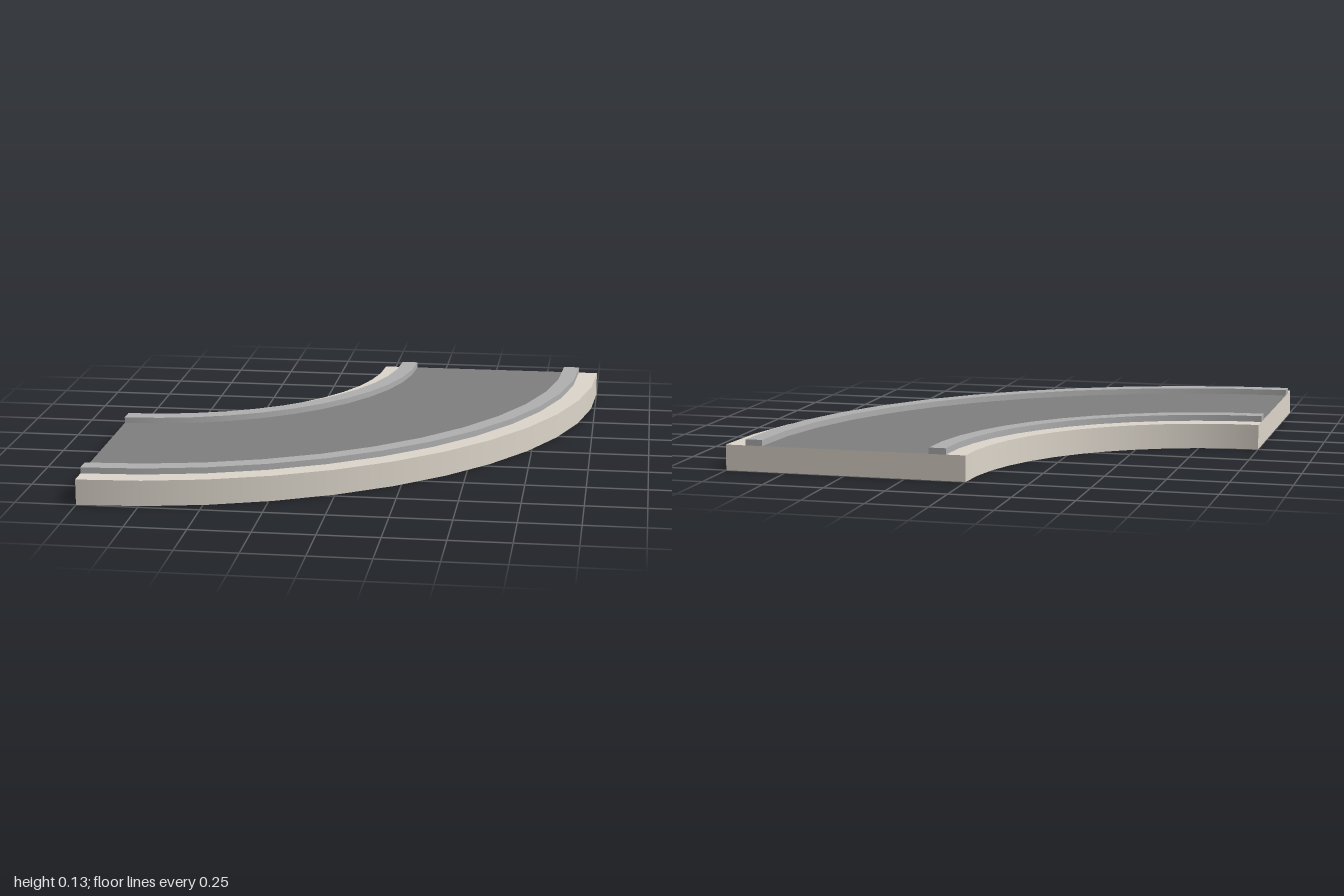
import * as THREE from 'three';
import { mergeGeometries } from 'three/addons/utils/BufferGeometryUtils.js';

const SEGMENTS = 12;
const BASE_TOP = 0.105, CURB_TOP = 0.13;
// radii: inner edge, inner curb, road, outer curb, outer edge
const R = [1, 1.08, 1.15, 1.845, 1.915, 2];

// one quarter-turn surface swept from profile point a to b; its front is on the right of a -> b
function sweep(a, b) {
  const points = [new THREE.Vector2(...a), new THREE.Vector2(...b)];
  return new THREE.LatheGeometry(points, SEGMENTS, 0, Math.PI / 2);
}

const topFace = (r0, r1, y) => sweep([r1, y], [r0, y]);

// inner and outer walls plus both flat ends of a quarter ring
function sides(r0, r1, y0, y1) {
  const r = (r0 + r1) / 2, y = (y0 + y1) / 2;
  return [
    sweep([r1, y0], [r1, y1]),
    sweep([r0, y1], [r0, y0]),
    new THREE.PlaneGeometry(r1 - r0, y1 - y0).rotateY(-Math.PI / 2).translate(0, y, r),
    new THREE.PlaneGeometry(r1 - r0, y1 - y0).rotateY(Math.PI).translate(r, y, 0),
  ];
}

export function createModel() {
  const group = new THREE.Group();
  group.name = 'curvedRoad';

  const add = (name, color, parts) => {
    const mesh = new THREE.Mesh(mergeGeometries(parts), new THREE.MeshStandardMaterial({ color }));
    mesh.name = name;
    mesh.position.set(-1, 0, -1); // centre of the bend
    group.add(mesh);
  };

  // base slab with its underside and the two pavement strips
  add('pavementBase', 0xddd6cb, [
    ...sides(R[0], R[5], 0, BASE_TOP),
    sweep([R[0], 0], [R[5], 0]),
    topFace(R[0], R[1], BASE_TOP),
    topFace(R[4], R[5], BASE_TOP),
  ]);

  // road surface
  add('roadSurface', 0x808080, [topFace(R[2], R[3], BASE_TOP)]);

  // raised curbs along both sides of the road
  for (const [name, r0, r1] of [['innerCurb', R[1], R[2]], ['outerCurb', R[3], R[4]]]) {
    add(name, 0xb0b0b0, [...sides(r0, r1, BASE_TOP, CURB_TOP), topFace(r0, r1, CURB_TOP)]);
  }

  return group;
}
